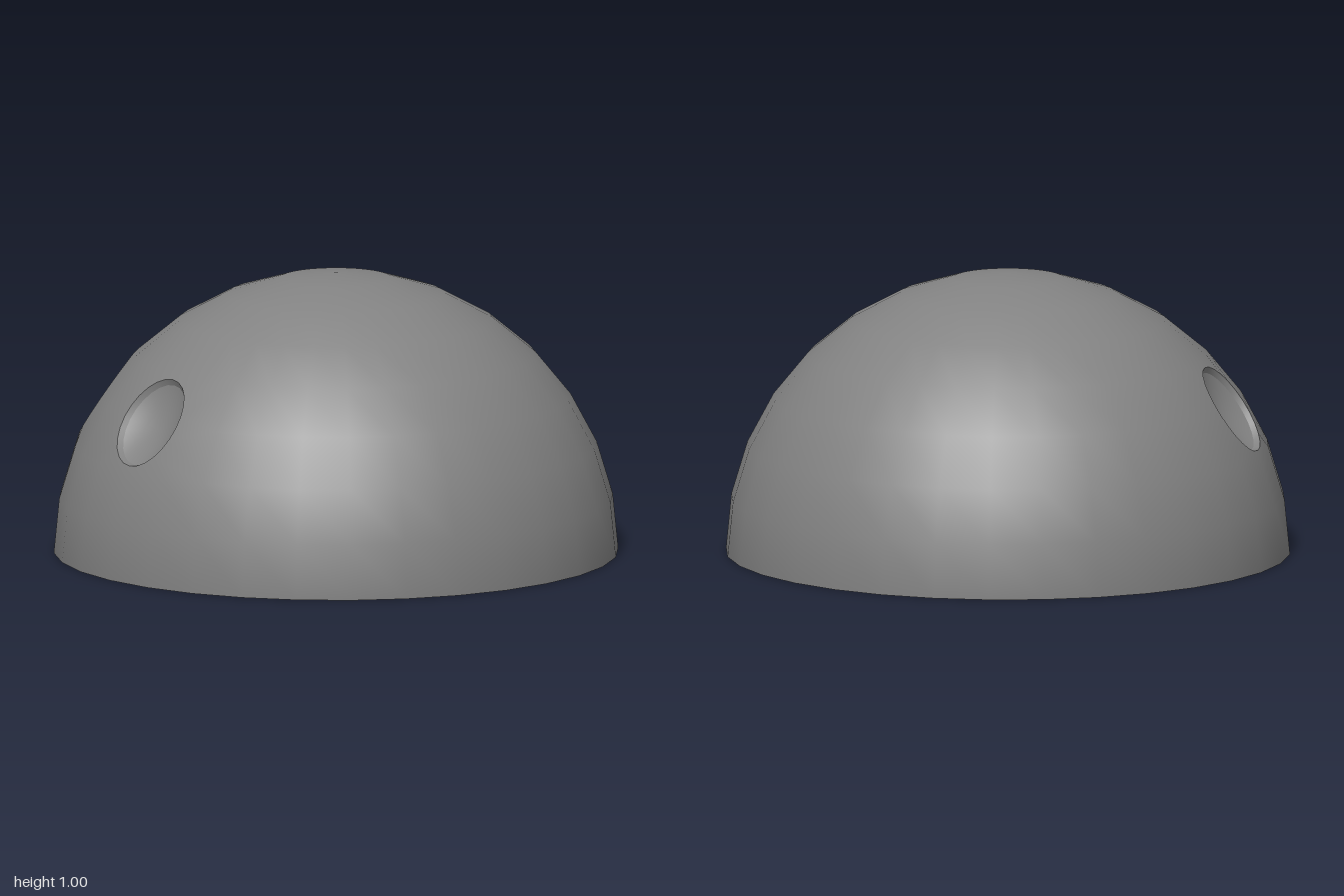
import * as THREE from 'three';
import { mergeVertices } from 'three/addons/utils/BufferGeometryUtils.js';

const RAD = Math.PI / 180;
const material = new THREE.MeshStandardMaterial({ color: 0x828282, side: THREE.DoubleSide });
const RU = 0.15, RV = 0.174; // half width and half height of each oval recess

function part(name, geometry) {
  const mesh = new THREE.Mesh(geometry, material);
  mesh.name = name;
  return mesh;
}

// Point on the unit sphere; azimuth 0 is -x and grows towards +z
function onSphere(az, el) {
  return new THREE.Vector3(
    -Math.cos(az * RAD) * Math.cos(el * RAD), Math.sin(el * RAD), Math.sin(az * RAD) * Math.cos(el * RAD));
}

// Open half sphere without the cells that surround the two recesses
function domeGeometry() {
  const geo = new THREE.SphereGeometry(1, 32, 8, 0, Math.PI * 2, 0, Math.PI / 2);
  const pos = geo.attributes.position, old = geo.index.array, kept = [];
  for (let i = 0; i < old.length; i += 3) {
    const c = new THREE.Vector3();
    for (let k = 0; k < 3; k++) c.add(new THREE.Vector3().fromBufferAttribute(pos, old[i + k]));
    c.normalize();
    const el = Math.asin(c.y) / RAD, az = Math.atan2(c.z, -c.x) / RAD;
    if (Math.abs(az) < 45 && el > 22.5 && el < 45) continue;
    kept.push(old[i], old[i + 1], old[i + 2]);
  }
  geo.setIndex(kept);
  return geo;
}

// Skin between the block of removed cells and the oval opening
function surroundGeometry(az, u, n, v) {
  const step = 11.25, el = 33.75;
  const border = [[2, 0], [2, 1], [1, 1], [0, 1], [-1, 1], [-2, 1], [-2, 0], [-2, -1], [-1, -1], [0, -1], [1, -1], [2, -1]]
    .map(([a, e]) => onSphere(az + a * step, el + e * step));
  const ring = [];
  for (let k = 0; k < 24; k++) {
    const a = RU * Math.cos(k * 15 * RAD), b = RV * Math.sin(k * 15 * RAD);
    ring.push(n.clone().multiplyScalar(Math.sqrt(1 - a * a - b * b)).addScaledVector(u, a).addScaledVector(v, b));
  }
  const index = [];
  for (let j = 0; j < 12; j++) {
    const b0 = j, b1 = (j + 1) % 12;
    const r0 = 12 + 2 * j, r1 = r0 + 1, r2 = 12 + (2 * j + 2) % 24;
    index.push(b0, r1, r0, b0, b1, r1, b1, r2, r1);
  }
  const flat = [...border, ...ring].flatMap(p => p.toArray());
  const geo = new THREE.BufferGeometry();
  geo.setAttribute('position', new THREE.Float32BufferAttribute(flat, 3));
  geo.setAttribute('normal', new THREE.Float32BufferAttribute(flat, 3));
  geo.setIndex(index);
  return geo;
}

// Oval surface of revolution; profile is [relative radius, depth below the sphere]
function sunken(profile) {
  const geo = new THREE.LatheGeometry(profile.map(([r, d]) => new THREE.Vector2(r, -d)), 24);
  geo.scale(RU, 1, RV);
  geo.deleteAttribute('uv');
  geo.deleteAttribute('normal');
  const pos = geo.attributes.position;
  for (let i = 0; i < pos.count; i++) {
    const x = pos.getX(i), z = pos.getZ(i);
    pos.setY(i, pos.getY(i) + Math.sqrt(1 - x * x - z * z));
  }
  const merged = mergeVertices(geo, 1e-5);
  merged.computeVertexNormals();
  return merged;
}

// Oval recess with a short wall and a concave floor
function createRecess(az) {
  const group = new THREE.Group();
  const n = onSphere(az, 33.75);
  const u = new THREE.Vector3(Math.sin(az * RAD), 0, Math.cos(az * RAD));
  const v = n.clone().cross(u);
  group.add(part('recessSurround', surroundGeometry(az, u, n, v)));

  const turn = new THREE.Matrix4().makeBasis(u, n, v.clone().negate());
  const wall = sunken([[1, 0], [0.92, 0.02]]);
  const floor = sunken([[0.92, 0.02], [0.75, 0.037], [0.5, 0.055], [0.25, 0.066], [0, 0.07]]);
  group.add(part('recessWall', wall.applyMatrix4(turn)));
  group.add(part('recessFloor', floor.applyMatrix4(turn)));
  return group;
}

export function createModel() {
  const model = new THREE.Group();
  model.name = 'dentedDome';
  model.add(part('dome', domeGeometry()));
  for (const [name, az] of [['frontRecess', 22.5], ['backRecess', -22.5]]) {
    const recess = createRecess(az);
    recess.name = name;
    model.add(recess);
  }
  return model;
}
